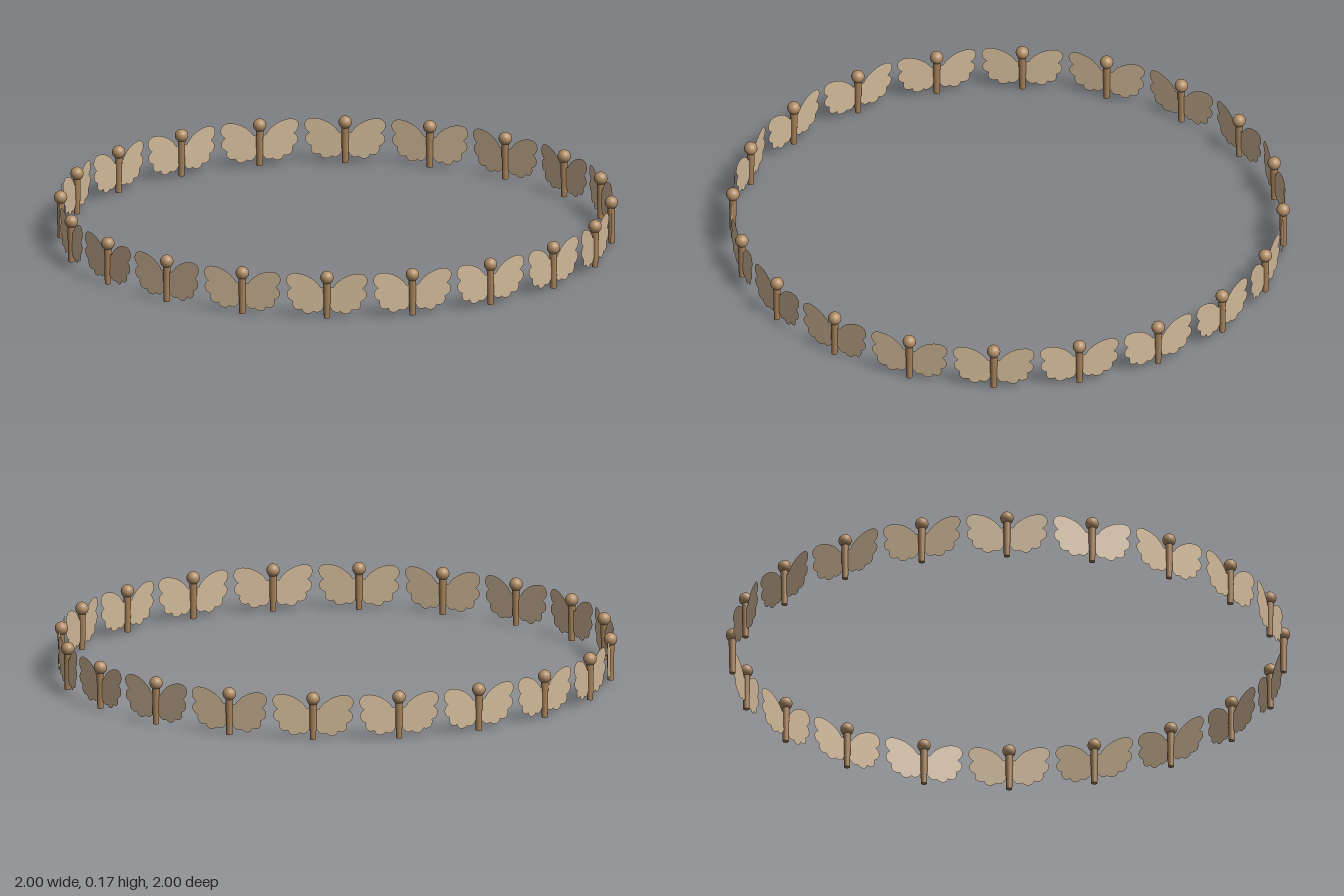
import * as THREE from 'three';

const COUNT = 20;      // winged figures around the ring
const RADIUS = 0.987;  // distance from the ring centre to each figure

// Outline of one wing (+x side): raised upper lobe, scalloped lower lobe.
function wingShape() {
  const s = new THREE.Shape();
  s.moveTo(0, 0.115);
  s.lineTo(0.022, 0.112);
  s.bezierCurveTo(0.045, 0.15, 0.09, 0.168, 0.122, 0.165);  // upper edge
  s.bezierCurveTo(0.15, 0.16, 0.155, 0.128, 0.128, 0.11);   // upper tip
  s.bezierCurveTo(0.15, 0.1, 0.148, 0.07, 0.122, 0.062);    // outer scallop
  s.bezierCurveTo(0.128, 0.035, 0.108, 0.024, 0.09, 0.032); // lower scallops
  s.bezierCurveTo(0.085, 0.01, 0.06, 0.01, 0.048, 0.024);
  s.bezierCurveTo(0.036, 0.014, 0.018, 0.022, 0.012, 0.04);
  s.lineTo(0, 0.045);
  return s;
}

export function createModel() {
  const model = new THREE.Group();
  model.name = 'wingedRing';

  const wingMat = new THREE.MeshStandardMaterial({ color: 0xd0b898, side: THREE.DoubleSide });
  wingMat.name = 'pale tan';
  const bodyMat = new THREE.MeshStandardMaterial({ color: 0xa58058 });
  bodyMat.name = 'brown';
  const headMat = new THREE.MeshStandardMaterial({ color: 0xb08d66 });
  headMat.name = 'light brown';

  const wingGeo = new THREE.ShapeGeometry(wingShape(), 8);
  // Mirrored wing, turned half round so its surface stays front-facing
  const otherWingGeo = wingGeo.clone().rotateY(Math.PI);
  const bodyGeo = new THREE.CylinderGeometry(0.014, 0.011, 0.14, 16).translate(0, 0.07, 0);
  const headGeo = new THREE.SphereGeometry(0.024, 20, 14).translate(0, 0.15, 0);

  const add = (group, name, geo, mat) => {
    const mesh = new THREE.Mesh(geo, mat);
    mesh.name = name;
    group.add(mesh);
  };

  // Figures face outwards, evenly spaced, with a gap on each axis
  for (let i = 0; i < COUNT; i++) {
    const a = ((i + 0.5) / COUNT) * Math.PI * 2;
    const figure = new THREE.Group();
    figure.name = 'wingedFigure';
    add(figure, 'leftWing', wingGeo, wingMat);
    add(figure, 'rightWing', otherWingGeo, wingMat);
    add(figure, 'body', bodyGeo, bodyMat);
    add(figure, 'head', headGeo, headMat);
    figure.position.set(Math.sin(a) * RADIUS, 0, Math.cos(a) * RADIUS);
    figure.rotation.y = a;
    model.add(figure);
  }
  return model;
}
